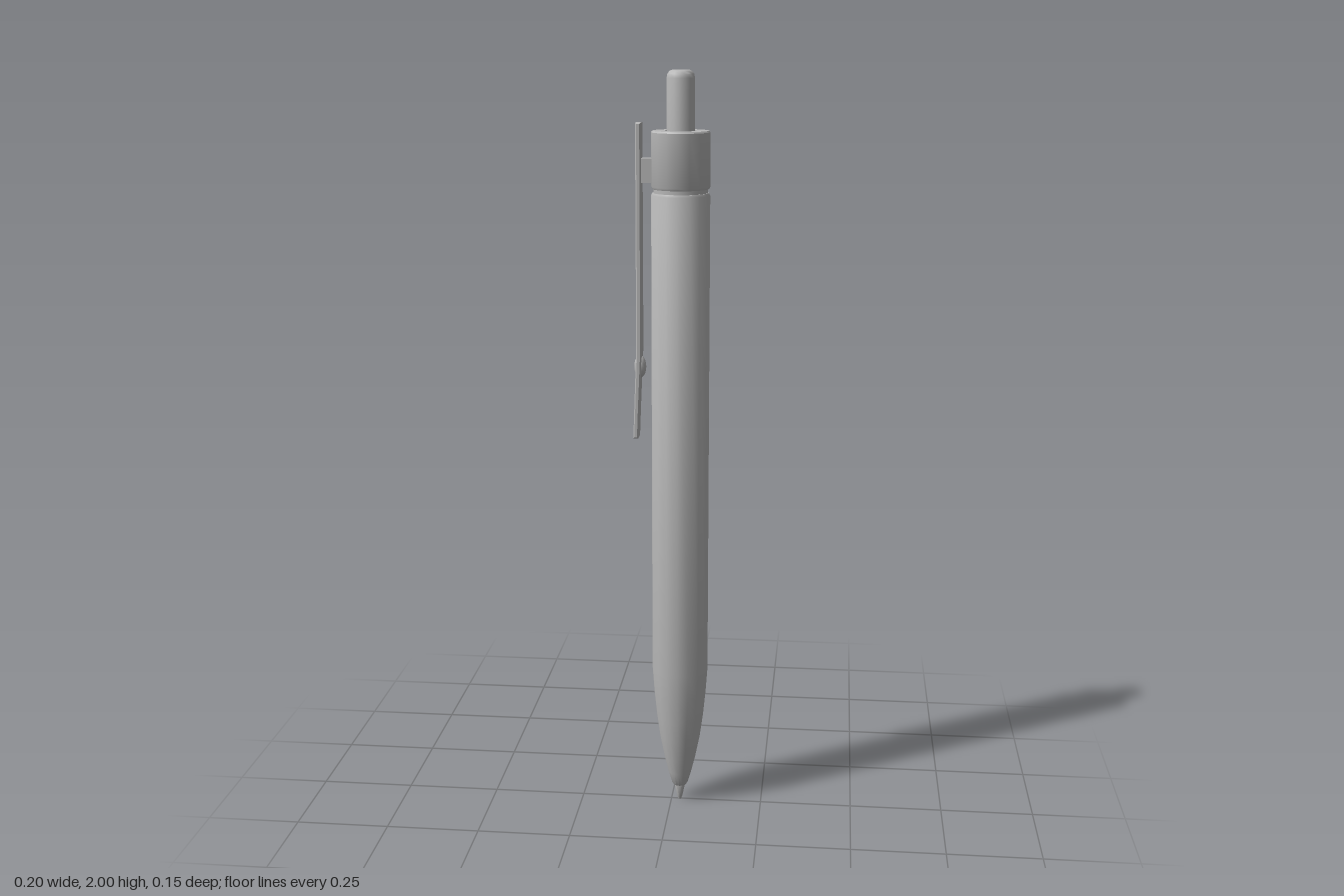
import * as THREE from 'three';
import { toCreasedNormals } from 'three/addons/utils/BufferGeometryUtils.js';

const AXIS_X = 0.023; // the barrel sits off centre to make room for the clip
const SIDES = 16;

export function createModel() {
  const model = new THREE.Group();
  model.name = 'pen';
  const grey = new THREE.MeshStandardMaterial({ color: 0xb8b8b8 });
  grey.name = 'grey';

  function add(name, geometry, x = 0, y = 0, z = 0) {
    const mesh = new THREE.Mesh(geometry, grey);
    mesh.name = name;
    mesh.position.set(x, y, z);
    model.add(mesh);
    return mesh;
  }

  // Turned part from [radius, height] pairs, listed bottom to top on the outside
  function turned(name, profile) {
    const points = profile.map(([r, y]) => new THREE.Vector2(r, y));
    add(name, toCreasedNormals(new THREE.LatheGeometry(points, SIDES), 0.6), AXIS_X);
  }

  // Writing tip
  turned('tip', [[0, 0.004], [0.004, 0.004], [0.007, 0.012], [0.014, 0.045], [0.014, 0.07]]);

  // Barrel with curved nose
  turned('barrel', [
    [0, 0.05], [0.018, 0.05], [0.022, 0.056], [0.032, 0.09], [0.043, 0.135], [0.055, 0.195],
    [0.064, 0.26], [0.071, 0.33], [0.076, 0.4], [0.076, 1.688], [0.073, 1.694], [0, 1.694],
  ]);

  // Recessed ring between barrel and collar
  turned('grooveRing', [[0.07, 1.68], [0.07, 1.72]]);

  // Collar with a bore for the push button
  turned('collar', [
    [0, 1.704], [0.073, 1.704], [0.076, 1.71], [0.076, 1.846], [0.073, 1.85],
    [0.041, 1.85], [0.041, 1.81], [0, 1.81],
  ]);

  // Push button with rounded top
  turned('pushButton', [
    [0.036, 1.8], [0.036, 1.98], [0.034, 1.99], [0.029, 1.997], [0.022, 2], [0, 2],
  ]);

  // Clip: a thin strip that kicks outward near its lower end
  const side = new THREE.Shape([
    [-0.091, 1.87], [-0.091, 1.29], [-0.1, 1.05], [-0.087, 1.05], [-0.084, 1.13],
    [-0.077, 1.29], [-0.077, 1.87],
  ].map(([x, y]) => new THREE.Vector2(x, y)));
  const strip = new THREE.ExtrudeGeometry(side, {
    depth: 0.042, bevelEnabled: true, bevelThickness: 0.003, bevelSize: 0.003,
    bevelOffset: -0.003, bevelSegments: 1,
  });
  add('clip', strip, 0, 0, -0.021);

  // Bridge joining clip and collar
  add('clipBridge', new THREE.BoxGeometry(0.043, 0.062, 0.034), -0.0635, 1.75, 0);

  // Rounded gripping bump on the inside of the clip
  const bump = add('clipBump', new THREE.SphereGeometry(1, 16, 10), -0.083, 1.24, 0);
  bump.scale.set(0.016, 0.03, 0.018);

  return model;
}
